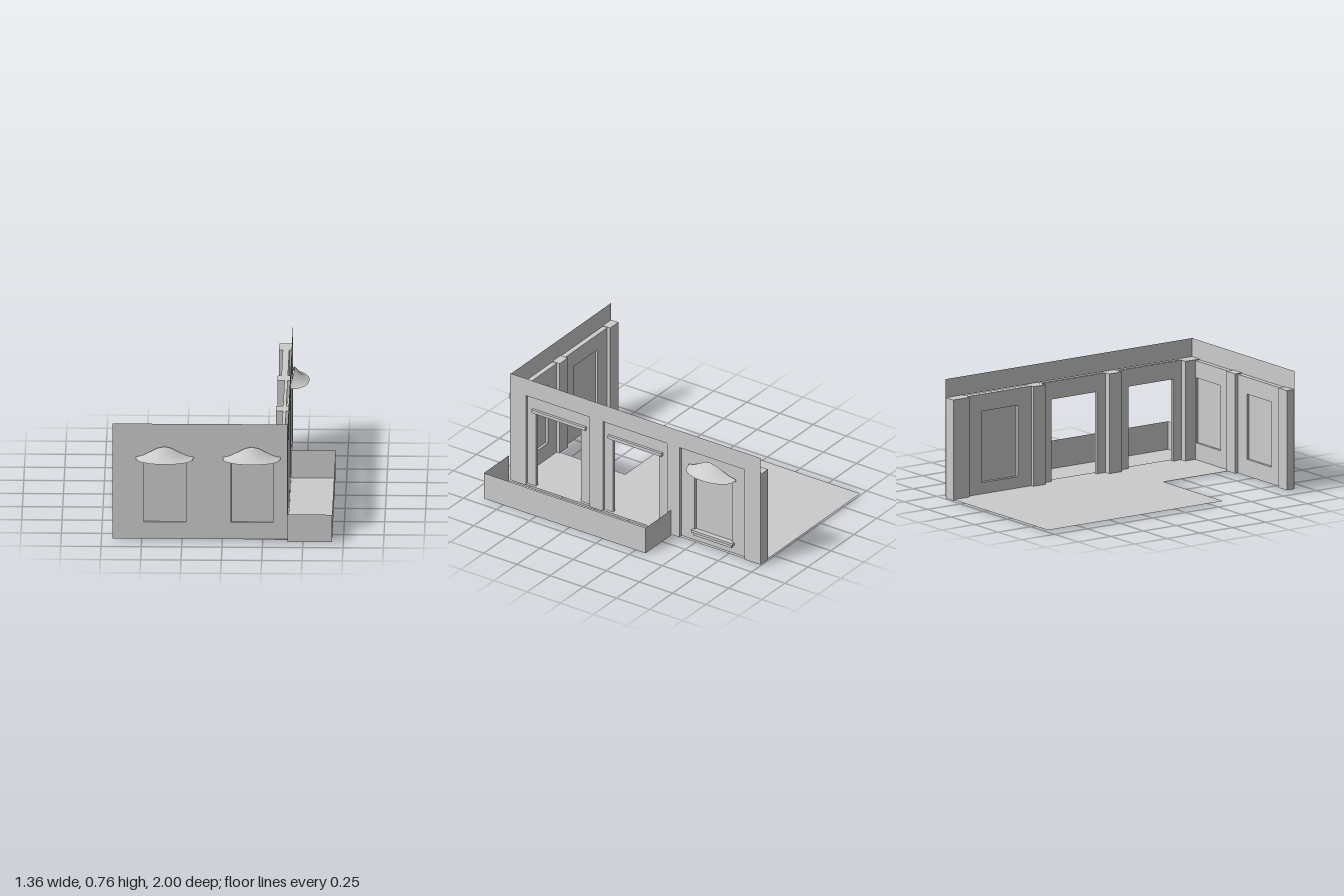
import * as THREE from 'three';

const mat = new THREE.MeshStandardMaterial({ color: 0xcccccc, side: THREE.DoubleSide });
const BASE = 0.013, PANEL_TOP = 0.648, WALL_TOP = 0.765;

function add(parent, name, geometry) {
  const mesh = new THREE.Mesh(geometry, mat);
  mesh.name = name;
  parent.add(mesh);
  return mesh;
}

// Box given by its limits on each axis
function box(parent, name, [x0, x1], [y0, y1], [z0, z1]) {
  const mesh = add(parent, name, new THREE.BoxGeometry(x1 - x0, y1 - y0, z1 - z0));
  mesh.position.set((x0 + x1) / 2, (y0 + y1) / 2, (z0 + z1) / 2);
}

// Wall outline with notches open at the floor and closed rectangular holes
function wallShape([u0, u1], top, notches = [], holes = []) {
  const points = [[u0, top], [u0, BASE]];
  for (const [a, b, h] of notches) points.push([a, BASE], [a, h], [b, h], [b, BASE]);
  points.push([u1, BASE], [u1, top]);
  const shape = new THREE.Shape(points.map(p => new THREE.Vector2(...p)));
  for (const [a, b, y0, y1] of holes) {
    shape.holes.push(new THREE.Path([[a, y0], [a, y1], [b, y1], [b, y0]].map(p => new THREE.Vector2(...p))));
  }
  return shape;
}

function skin(parent, name, shape, depth) {
  add(parent, name, new THREE.ShapeGeometry(shape)).position.z = depth;
}

function panel(parent, name, shape, d0, d1) {
  const geometry = new THREE.ExtrudeGeometry(shape, { depth: d1 - d0, bevelEnabled: false });
  add(parent, name, geometry).position.z = d0;
}

function glass(parent, [a, b, y0, y1], depth) {
  const mesh = add(parent, 'windowPane', new THREE.PlaneGeometry(b - a, y1 - y0));
  mesh.position.set((a + b) / 2, (y0 + y1) / 2, depth);
}

// Hollow scalloped hood: rows run from the rim up a concave slope to the crest
function hood(parent, u, depth) {
  const COLS = 12, ROWS = 5, half = 0.178, positions = [], index = [];
  for (let r = 0; r <= ROWS; r++) {
    const s = r / ROWS;
    for (let c = 0; c <= COLS; c++) {
      const t = Math.PI * c / COLS;
      const x = Math.cos(t) * half;
      const bump = 0.5 + 0.5 * Math.cos(Math.PI * x / half);
      const rimZ = 0.115 * Math.pow(Math.sin(t), 0.85);
      const crestZ = 0.024 * bump;
      const crestY = 0.55 + 0.074 * bump;
      positions.push(x * (1 - 0.06 * s * bump),
        0.537 + (crestY - 0.537) * (0.45 * s + 0.55 * s * s),
        rimZ + (crestZ - rimZ) * s);
      if (r < ROWS && c < COLS) {
        const a = r * (COLS + 1) + c, b = a + COLS + 1;
        index.push(a, b, a + 1, a + 1, b, b + 1);
      }
    }
  }
  const geometry = new THREE.BufferGeometry();
  geometry.setAttribute('position', new THREE.Float32BufferAttribute(positions, 3));
  geometry.setIndex(index.reverse());
  geometry.computeVertexNormals();
  // winding faces outward and upward
  if (geometry.attributes.normal.getY(Math.floor(COLS / 2) + 2 * (COLS + 1)) < 0) {
    geometry.setIndex(index.reverse());
    geometry.computeVertexNormals();
  }
  add(parent, 'windowHood', geometry).position.set(u, 0, depth);
}

export function createModel() {
  const model = new THREE.Group();
  model.name = 'roomCorner';

  // L-shaped floor
  const floorShape = new THREE.Shape([
    [-0.68, 1], [0.405, 1], [0.405, -0.885], [-0.05, -0.885], [-0.05, -0.335], [-0.68, -0.335],
  ].map(p => new THREE.Vector2(...p)));
  const floor = add(model, 'floor', new THREE.ShapeGeometry(floorShape));
  floor.rotation.x = -Math.PI / 2;
  floor.position.y = BASE;

  // Front wall: thin outer skin, two framed bays with windows, inner pilasters
  const front = new THREE.Group();
  front.name = 'frontWall';
  model.add(front);
  const windows = [[-0.485, -0.225, 0.12, 0.535], [0.055, 0.315, 0.12, 0.535]];
  skin(front, 'frontSkin', wallShape([-0.68, 0.405], WALL_TOP, [], windows), 0.88);
  [[-0.59, -0.13], [-0.04, 0.322]].forEach((span, i) => {
    panel(front, 'frontPanel', wallShape(span, PANEL_TOP - 0.005, [], [windows[i]]), 0.845, 0.878);
    glass(front, windows[i], 0.862);
    hood(front, (windows[i][0] + windows[i][1]) / 2 - 0.003, 0.88);
  });
  for (const span of [[-0.68, -0.59], [-0.13, -0.04]]) {
    box(front, 'frontPilaster', span, [BASE, PANEL_TOP], [0.823, 0.878]);
  }

  // Right-hand wall, built facing forward and turned: its length runs toward the back
  const side = new THREE.Group();
  side.name = 'sideWall';
  side.rotation.y = Math.PI / 2;
  model.add(side);
  const bays = [[-0.78, -0.29, 0.645], [-0.195, 0.295, 0.645], [0.39, 0.88, 0.645]];
  skin(side, 'sideSkin', wallShape([-0.89, 1], WALL_TOP, bays), 0.405);
  for (const span of [[-0.878, -0.77], [-0.285, -0.19], [0.3, 0.39], [0.88, 1]]) {
    box(side, 'sidePilaster', span, [0.006, PANEL_TOP], [0.322, 0.403]);
  }

  // Two doorway bays with a lintel moulding
  const doors = [
    { span: [-0.785, -0.285], opening: [-0.705, -0.365, 0.535], lintel: [-0.73, -0.325] },
    { span: [-0.2, 0.3], opening: [-0.125, 0.22, 0.535], lintel: [-0.155, 0.25] },
  ];
  for (const { span, opening, lintel } of doors) {
    panel(side, 'doorPanel', wallShape(span, PANEL_TOP, [opening]), 0.365, 0.385);
    box(side, 'doorLintel', lintel, [0.533, 0.555], [0.385, 0.402]);
  }

  // Window bay with sill and hood
  const sideWindow = [0.49, 0.77, 0.085, 0.54];
  panel(side, 'windowPanel', wallShape([0.39, 0.88], PANEL_TOP, [], [sideWindow]), 0.345, 0.385);
  glass(side, sideWindow, 0.366);
  box(side, 'windowSill', [0.475, 0.79], [0.07, 0.087], [0.38, 0.403]);
  box(side, 'windowSillApron', [0.487, 0.775], [0.05, 0.07], [0.38, 0.396]);
  hood(side, 0.633, 0.4);

  // Porch: thin floor and low parapet on three sides
  const porch = new THREE.Group();
  porch.name = 'porch';
  model.add(porch);
  const porchFloor = add(porch, 'porchFloor', new THREE.PlaneGeometry(0.275, 1.22));
  porchFloor.rotation.x = -Math.PI / 2;
  porchFloor.position.set(0.5425, 0.001, 0.285);
  const outer = add(porch, 'parapetSide', new THREE.PlaneGeometry(1.22, 0.18));
  outer.rotation.y = Math.PI / 2;
  outer.position.set(0.68, 0.09, 0.285);
  for (const z of [0.895, -0.325]) {
    add(porch, 'parapetEnd', new THREE.PlaneGeometry(0.275, 0.18)).position.set(0.5425, 0.09, z);
  }
  return model;
}
